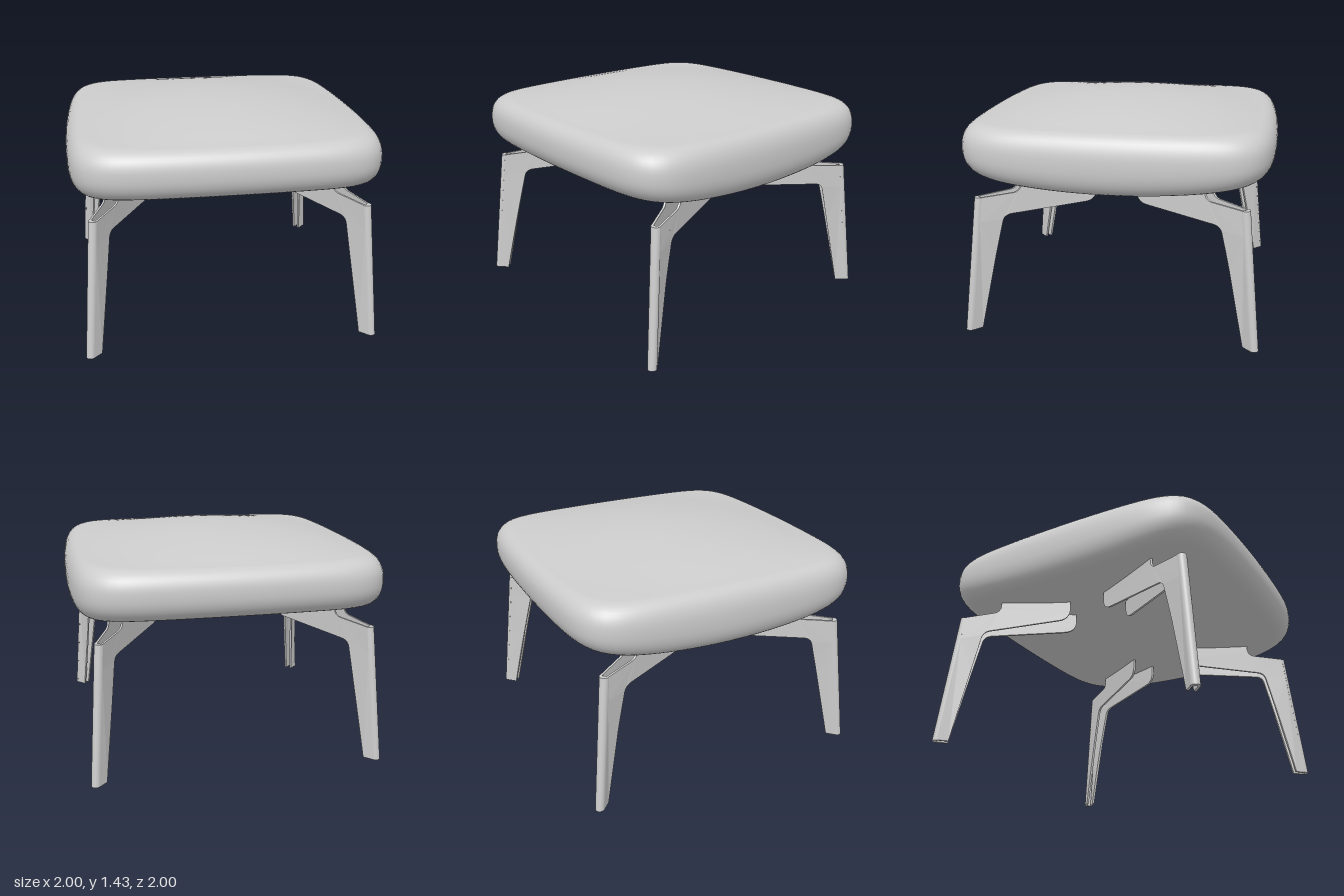
import * as THREE from 'three';

const grey = new THREE.MeshStandardMaterial({ color: 0xcccccc, side: THREE.DoubleSide });
grey.name = 'grey';

// Cushion: rings running from the domed top centre, round the soft edge, to the bottom centre
function cushionGeometry() {
  const seg = 160, power = 8, edge = 0.13, rings = [];
  for (let i = 0; i <= 12; i++) rings.push([Math.max(i / 12, 0.001), 0, 1]);
  for (let i = 1; i < 20; i++) {
    const a = Math.PI / 2 - (i / 20) * Math.PI;
    rings.push([1, Math.abs(Math.cos(a)) ** 0.85, Math.sign(Math.sin(a)) * Math.abs(Math.sin(a)) ** 0.85]);
  }
  for (let i = 12; i >= 0; i--) rings.push([Math.max(i / 12, 0.001), 0, -1]);

  const pos = [], idx = [];
  rings.forEach(([q, out, h], i) => {
    for (let j = 0; j < seg; j++) {
      const t = (j / seg) * Math.PI * 2, c = Math.cos(t), s = Math.sin(t);
      const r = (Math.abs(c) ** power + Math.abs(s) ** power) ** (-1 / power);
      const u = c * r, v = s * r; // rounded square, then bowed sides
      const k = q * (1 - edge * (1 - out));
      const x = u * (1 - 0.05 * v * v) * k, z = v * (1 - 0.05 * u * u) * k;
      const hi = 1.33 + 0.105 * (1 - (u * q) ** 2) * (1 - (v * q) ** 2);
      const lo = 0.945 + 0.09 * z * z;
      pos.push(x, (hi + lo) / 2 + (h * (hi - lo)) / 2, z);
      if (i < rings.length - 1) {
        const a = i * seg + j, b = i * seg + ((j + 1) % seg);
        idx.push(a, b, a + seg, b, b + seg, a + seg);
      }
    }
  });
  const g = new THREE.BufferGeometry();
  g.setAttribute('position', new THREE.Float32BufferAttribute(pos, 3));
  g.setIndex(idx);
  g.computeVertexNormals();
  return g;
}

// Outer line of a leg, leaning inwards from the foot
const spine = (y) => {
  const k = Math.min(y / 0.88, 1);
  return [0.905 - 0.06 * k, 0.905 - 0.085 * k];
};

// Side outline of a blade: s runs from the spine (0) to the inner tip (1)
function bladeShape() {
  const p = new THREE.Shape();
  p.moveTo(0, 0);
  p.lineTo(0.11, 0);
  for (let i = 1; i <= 6; i++) p.lineTo(0.11 + 0.015 * i, 0.12 * i);
  p.quadraticCurveTo(0.205, 0.757, 0.26, 0.765);
  p.lineTo(0.91, 0.812);
  p.quadraticCurveTo(1, 0.82, 1, 0.88);
  p.lineTo(1, 1.0);
  p.lineTo(0.34, 1.0);
  p.lineTo(0.34, 0.95);
  p.quadraticCurveTo(0.335, 0.905, 0.27, 0.9);
  p.lineTo(0, 0.88);
  for (let i = 6; i >= 1; i--) p.lineTo(0, 0.12 * i);
  return p;
}

// Blade: parallel to its twin at the foot, swinging out to its own direction at the bracket
function bladeGeometry(dx, dz, offset) {
  const thick = 0.014;
  const g = new THREE.ExtrudeGeometry(bladeShape(), { depth: thick, bevelEnabled: false, curveSegments: 8 });
  const p = g.attributes.position;
  for (let i = 0; i < p.count; i++) {
    const s = p.getX(i), y = p.getY(i);
    const n = (p.getZ(i) - thick / 2 + offset) * Math.SQRT1_2;
    const k = Math.min(y / 0.76, 1), [sx, sz] = spine(y);
    p.setXYZ(i, sx + s * (-0.46 * (1 - k) + dx * k) + n, y, sz + s * (-0.46 * (1 - k) + dz * k) - n);
  }
  g.computeVertexNormals();
  return g;
}

// Rounded outer face of the leg
function spineGeometry() {
  const g = new THREE.CylinderGeometry(0.03, 0.029, 0.88, 16, 8, false, -Math.PI / 4, Math.PI);
  g.translate(0, 0.44, 0);
  const p = g.attributes.position;
  for (let i = 0; i < p.count; i++) {
    const [sx, sz] = spine(p.getY(i));
    p.setX(i, p.getX(i) + sx);
    p.setZ(i, p.getZ(i) + sz);
  }
  g.computeVertexNormals();
  return g;
}

export function createModel() {
  const model = new THREE.Group();
  model.name = 'footstool';
  const add = (parent, geometry, name) => {
    const m = new THREE.Mesh(geometry, grey);
    m.name = name;
    parent.add(m);
  };
  add(model, cushionGeometry(), 'cushion');

  // Four mirrored forked legs
  const post = spineGeometry();
  const outerBlade = bladeGeometry(-0.27, -0.67, 0.022);
  const innerBlade = bladeGeometry(-0.415, -0.635, -0.022);
  for (const x of [1, -1]) for (const z of [1, -1]) {
    const leg = new THREE.Group();
    leg.name = (z > 0 ? 'front' : 'back') + (x > 0 ? 'Left' : 'Right') + 'Leg';
    add(leg, post, 'legSpine');
    add(leg, outerBlade, 'outerBlade');
    add(leg, innerBlade, 'innerBlade');
    leg.scale.set(x, 1, z);
    model.add(leg);
  }
  return model;
}
